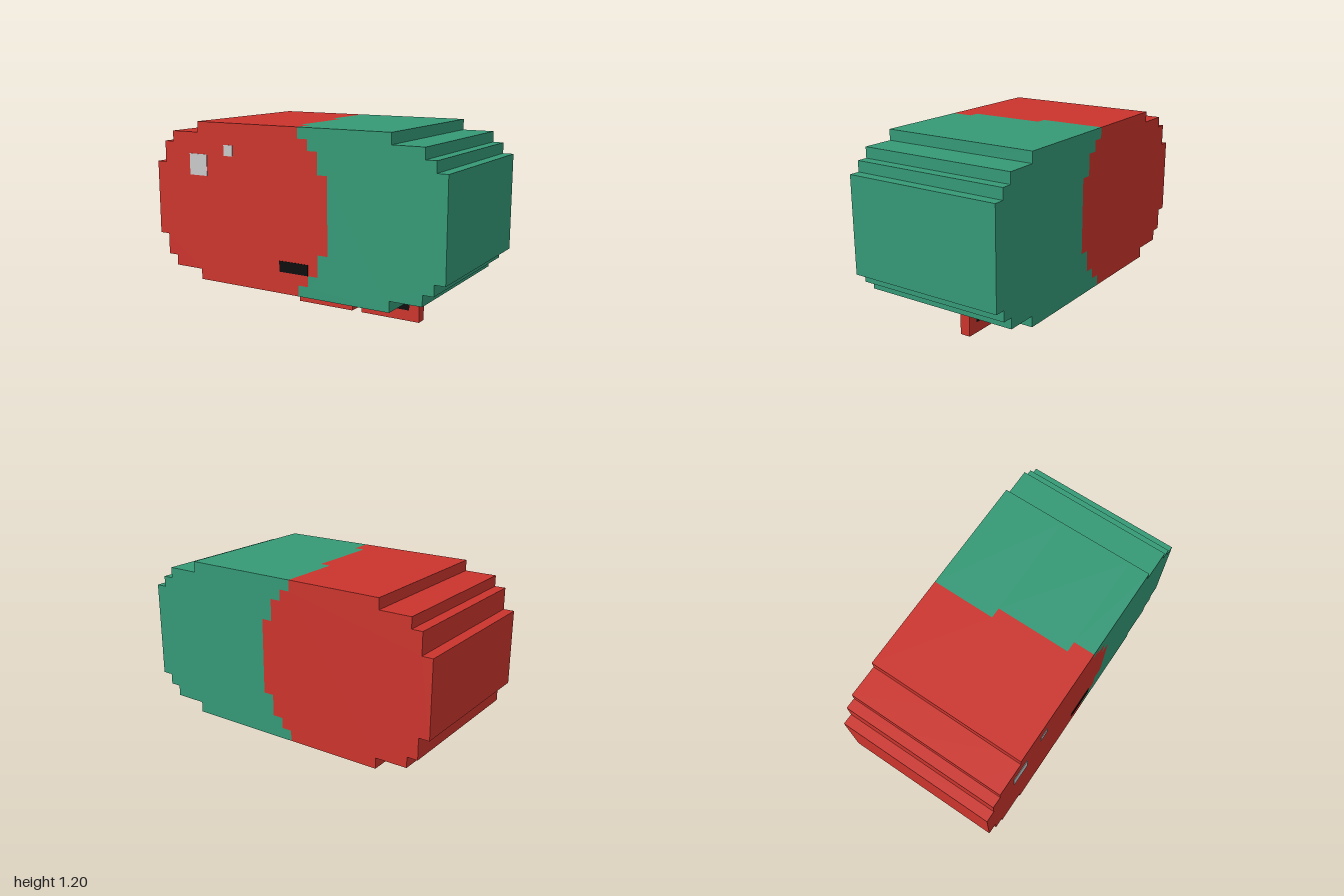
import * as THREE from 'three';

const U = 1 / 15; // one block

export function createModel() {
  const mat = (name, color) => {
    const m = new THREE.MeshStandardMaterial({ color });
    m.name = name;
    return m;
  };
  const red = mat('red', 0xcb342d);
  const green = mat('green', 0x359976);
  const white = mat('pale grey', 0xc9c9c9);
  const black = mat('black', 0x0d0d0d);

  const model = new THREE.Group();
  model.name = 'pixelCapsule';

  // Box given by its block limits
  const block = (name, material, x0, x1, y0, y1, z0, z1, parent = model) => {
    const geo = new THREE.BoxGeometry((x1 - x0) * U, (y1 - y0) * U, (z1 - z0) * U);
    const mesh = new THREE.Mesh(geo, material);
    mesh.position.set((x0 + x1) / 2 * U, (y0 + y1) / 2 * U, (z0 + z1) / 2 * U);
    mesh.name = name;
    parent.add(mesh);
  };

  // Stepped edge, bottom to top: row limits in y and one x per row
  const stepEdge = (limits, xs) => xs.flatMap((x, i) => [
    new THREE.Vector2(x * U, limits[i] * U),
    new THREE.Vector2(x * U, limits[i + 1] * U),
  ]);
  const tallRows = [3, 4, 5, 6, 15, 16, 17, 18];
  const roundRows = [3, 4, 5, 7, 14, 16, 17, 18];
  const outer = [10, 13, 14, 15, 14, 13, 10];
  const seam = [1, 2, 3, 4, 3, 2, 1];

  const slab = (name, material, leftEdge, rightEdge, z0, z1) => {
    const shape = new THREE.Shape([...rightEdge, ...[...leftEdge].reverse()]);
    const geo = new THREE.ExtrudeGeometry(shape, { depth: (z1 - z0) * U, bevelEnabled: false });
    const mesh = new THREE.Mesh(geo, material);
    mesh.position.z = z0 * U;
    mesh.name = name;
    model.add(mesh);
  };

  // Capsule body: the colour seam shifts one block per depth layer
  const redSide = stepEdge(roundRows, outer.map((x) => -x));
  const greenSide = stepEdge(tallRows, outer);
  [['back', -7.5, -1.5, -2], ['middle', -1.5, 5.5, -1], ['front', 5.5, 7.5, 0]]
    .forEach(([layer, z0, z1, shift]) => {
      const seamEdge = stepEdge(roundRows, seam.map((x) => x + shift));
      slab(layer + 'RedHalf', red, redSide, seamEdge, z0, z1);
      slab(layer + 'GreenHalf', green, seamEdge, greenSide, z0, z1);
    });

  // Painted highlights and mouth on the front
  const zf = 7.5, zp = 7.55;
  block('largeHighlight', white, -11, -9, 13, 15, zf, zp);
  block('smallHighlight', white, -7, -6, 15, 16, zf, zp);
  block('mouth', black, -1, 2, 5, 6, zf, zp);

  // Glasses under the body
  const glasses = new THREE.Group();
  glasses.name = 'glasses';
  model.add(glasses);
  const part = (name, m, x0, x1, y0, y1) => block(name, m, x0, x1, y0, y1, -0.5, 0.5, glasses);
  for (const x of [-3.5, 3.5]) {
    part('frameBottom', red, x, x + 6, 0, 1);
    part('frameSide', red, x, x + 1, 1, 3);
    part('frameSide', red, x + 5, x + 6, 1, 3);
    part('eyeWhite', white, x + 1, x + 3, 1, 3);
    part('pupil', black, x + 3, x + 5, 1, 3);
  }
  part('temple', red, -6.5, -5.5, 1, 3);

  return model;
}
